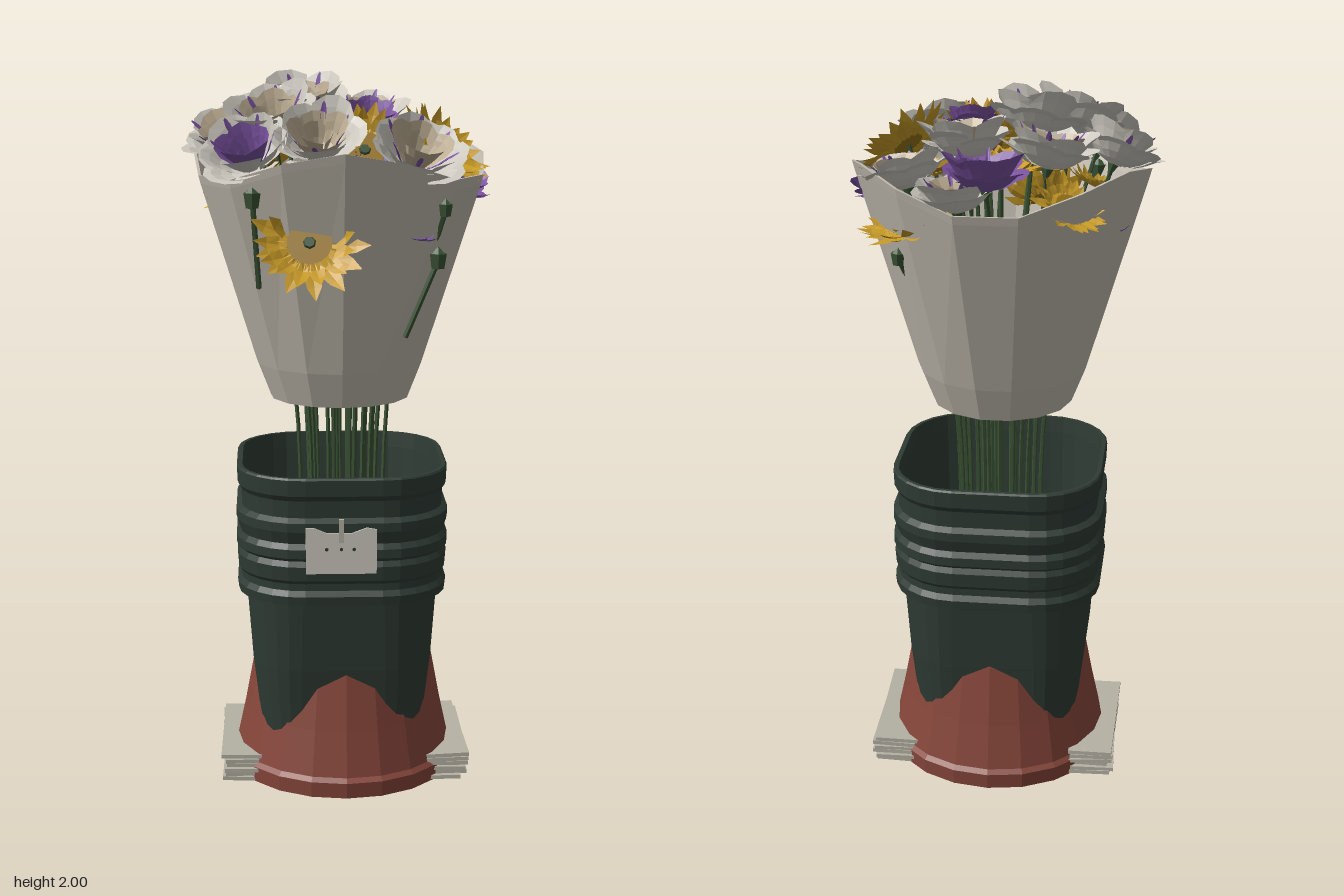
import * as THREE from 'three';
import { mergeGeometries } from 'three/addons/utils/BufferGeometryUtils.js';

const mat = (name, color) => {
  const m = new THREE.MeshStandardMaterial({ color, side: THREE.DoubleSide });
  m.name = name;
  return m;
};
const M = {
  paper: mat('wrapping paper', 0xc2bcb0),
  white: mat('white petal', 0xcdc9c0),
  tan: mat('tan petal', 0xc0b095),
  purple: mat('purple petal', 0x7a52a0),
  yellow: mat('yellow petal', 0xc99c28),
  brown: mat('seed brown', 0x9a761c),
  stem: mat('stem green', 0x3a5234),
  bucket: mat('bucket green', 0x2f3b34),
  clay: mat('terracotta', 0x86463a),
  stone: mat('stone grey', 0xb5b1a4),
};

let seed = 7;
const rnd = () => (seed = (seed * 16807) % 2147483647) / 2147483647;
const jit = (a) => (rnd() - 0.5) * 2 * a;

// Faceted normals
function flat(geo) {
  const g = geo.index ? geo.toNonIndexed() : geo;
  g.computeVertexNormals();
  return g;
}
function add(parent, name, geo, material) {
  const m = new THREE.Mesh(flat(geo), material);
  m.name = name;
  parent.add(m);
  return m;
}
// Grid surface from fn(u, v) -> [x, y, z], u and v in 0..1
function patch(fn, nu, nv) {
  const g = new THREE.PlaneGeometry(1, 1, nu, nv), p = g.attributes.position;
  for (let i = 0; i < p.count; i++) p.setXYZ(i, ...fn(p.getX(i) + 0.5, p.getY(i) + 0.5));
  return g;
}
// Point on a rounded square of half width w, rounder where it is wider; u runs round it in 0..1
const CORNER = 6;
function roundedSquare(u, w) {
  const k = Math.round(u * 4 * (CORNER + 1)) % (4 * (CORNER + 1));
  const q = Math.floor(k / (CORNER + 1));
  const r = w * (0.44 + 0.2 * THREE.MathUtils.clamp((w - 0.22) / 0.07, 0, 1));
  const a = (q + (k % (CORNER + 1)) / CORNER) * Math.PI / 2;
  const sx = [1, 1, -1, -1][q], sz = [1, -1, -1, 1][q];
  return [sx * (w - r) + r * Math.sin(a), sz * (w - r) + r * Math.cos(a)];
}

// Ring of cupped petals round the y axis
function petalRing(n, R, H, half, phase) {
  return Array.from({ length: n }, (_, i) => {
    const a0 = phase + i / n * Math.PI * 2 + jit(0.12), tip = jit(0.012), lean = 1 + jit(0.12);
    return patch((u, v) => {
      const s = u * 2 - 1, edge = v - 0.14 * s * s * v;
      const a = a0 + s * half * (0.5 + 0.8 * v - 0.5 * v * v);
      const r = R * lean * (0.12 + 0.88 * Math.pow(edge, 0.7)) * (1 - 0.05 * s * s);
      const y = H * Math.pow(edge, 1.3) + tip * v - (v > 0.9 ? 0.012 * R / 0.12 : 0);
      return [r * Math.sin(a), y, r * Math.cos(a)];
    }, 4, 4);
  });
}
// Ring of long pointed petals
function rayRing(n, r0, r1, lift, phase) {
  return Array.from({ length: n }, (_, i) => {
    const a = phase + i / n * Math.PI * 2 + jit(0.08), L = r1 * (1 + jit(0.12)), up = lift + jit(0.015);
    return patch((u, v) => {
      const s = u * 2 - 1, w = s * r1 * 0.17 * [0.55, 1, 0.75, 0.02][Math.round(v * 3)];
      const r = r0 + (L - r0) * v;
      return [r * Math.sin(a) + w * Math.cos(a), up * v * v + Math.abs(s) * 0.008 * (1 - v), r * Math.cos(a) - w * Math.sin(a)];
    }, 2, 3);
  });
}

function rose(outer, inner) {
  const g = new THREE.Group(), ph = rnd() * 6;
  add(g, 'outerPetals', mergeGeometries([...petalRing(6, 0.125, 0.075, 0.8, ph), ...petalRing(5, 0.112, 0.112, 0.85, ph + 0.5)]), outer);
  add(g, 'innerPetals', mergeGeometries([...petalRing(5, 0.08, 0.1, 0.95, ph), ...petalRing(3, 0.045, 0.075, 1.2, ph + 0.7)]), inner);
  add(g, 'accentPetals', mergeGeometries(petalRing(6, 0.09, 0.108, 0.12, ph + 0.2)), M.purple);
  add(g, 'calyx', new THREE.ConeGeometry(0.018, 0.04, 6).rotateX(Math.PI).translate(0, -0.02, 0), M.stem);
  return g;
}
function sunflower() {
  const g = new THREE.Group();
  add(g, 'rayPetals', mergeGeometries([...rayRing(13, 0.045, 0.15, 0.025, 0), ...rayRing(13, 0.045, 0.135, 0.05, 0.24)]), M.yellow);
  add(g, 'seedDisc', new THREE.CylinderGeometry(0.06, 0.05, 0.018, 14).translate(0, 0.012, 0), M.brown);
  add(g, 'discCentre', new THREE.CylinderGeometry(0.014, 0.018, 0.008, 7).translate(0, 0.024, 0), M.stem);
  return g;
}

function stemTo(parent, x, y, z) {
  const bx = x * 0.42 + jit(0.015), bz = z * 0.42 + jit(0.015);
  const path = new THREE.CatmullRomCurve3([[bx * 0.9, 0.42, bz * 0.9], [bx, 1.05, bz], [bx * 1.35, 1.35, bz * 1.35], [x, y, z]]
    .map((p) => new THREE.Vector3(...p)));
  add(parent, 'stem', new THREE.TubeGeometry(path, 12, 0.006, 5), M.stem);
}

export function createModel() {
  const model = new THREE.Group();
  model.name = 'flowerBucket';
  const UP = new THREE.Vector3(0, 1, 0);

  // Terracotta foot, hidden inside the bucket above
  const pot = [[0.285, 0.005], [0.32, 0.005], [0.324, 0.05], [0.312, 0.062], [0.284, 0.19], [0.252, 0.36], [0.243, 0.39]];
  add(model, 'terracottaFoot', new THREE.LatheGeometry(pot.map((p) => new THREE.Vector2(...p)), 20), M.clay);
  add(model, 'footUnderside', new THREE.CircleGeometry(0.3, 20).rotateX(Math.PI / 2).translate(0, 0.02, 0), M.tan);

  // Squared bucket: half width and height, up the outside then down the inside
  const wall = [[0.188, 0.022], [0.192, 0.01], [0.207, 0.01], [0.214, 0.03], [0.253, 0.36], [0.268, 0.56], [0.292, 0.565], [0.295, 0.59],
    [0.284, 0.605], [0.284, 0.625], [0.292, 0.635], [0.295, 0.675], [0.286, 0.69], [0.297, 0.7], [0.297, 0.725], [0.286, 0.74],
    [0.297, 0.775], [0.297, 0.8], [0.281, 0.812], [0.283, 0.86], [0.293, 0.875], [0.295, 0.92], [0.291, 0.925],
    [0.279, 0.925], [0.274, 0.88], [0.24, 0.42], [0.001, 0.42]];
  add(model, 'bucket', patch((u, v) => {
    const [w, y] = wall[Math.round(v * (wall.length - 1))], [x, z] = roundedSquare(u, w);
    return [x - 0.007, y, z + 0.003];
  }, 4 * (CORNER + 1), wall.length - 1), M.bucket);

  // Label with raised corners, three punched dots and a pin
  const tag = new THREE.Group();
  tag.name = 'label';
  tag.position.set(-0.016, 0.725, 0.302);
  const s = new THREE.Shape([[-0.097, -0.065], [0.097, -0.065], [0.097, 0.06], [0.07, 0.065], [0.03, 0.05], [-0.04, 0.05], [-0.075, 0.065], [-0.097, 0.065]]
    .map((p) => new THREE.Vector2(...p)));
  add(tag, 'labelPlate', new THREE.ExtrudeGeometry(s, { depth: 0.006, bevelEnabled: false }), M.white);
  for (const x of [-0.04, 0, 0.035]) add(tag, 'labelDot', new THREE.CylinderGeometry(0.005, 0.005, 0.003, 6).rotateX(Math.PI / 2).translate(x, 0.005, 0.007), M.bucket);
  add(tag, 'labelPin', new THREE.BoxGeometry(0.014, 0.065, 0.008).translate(0, 0.058, 0.008), M.stone);
  model.add(tag);

  // Stacked slabs on both sides of the foot
  for (const side of [1, -1]) {
    const stack = new THREE.Group();
    stack.name = side > 0 ? 'leftSlabs' : 'rightSlabs';
    for (let i = 0; i < 6; i++) {
      const slab = add(stack, 'slab', new THREE.BoxGeometry(0.125, 0.011, 0.41), M.stone);
      slab.position.set(side * 0.283 + jit(0.01), 0.014 + i * 0.013, -0.012 + jit(0.012));
      slab.rotation.set(jit(0.012), jit(0.04), jit(0.04));
    }
    model.add(stack);
  }

  // Paper wrap: faceted cone with a wavy top and a narrow folded lip
  const SIDES = 15;
  const wrap = [[0.197, 1.1, 0], [0.236, 1.2, 0], [0.4, 1.742, 1], [0.406, 1.765, 1], [0.398, 1.765, 1], [0.384, 1.735, 1]];
  add(model, 'paperWrap', patch((u, v) => {
    const [r, y, k] = wrap[Math.round(v * (wrap.length - 1))], a = u * Math.PI * 2;
    return [-0.01 + r * Math.sin(a), y + k * 0.043 * Math.cos(3 * a), r * Math.cos(a)];
  }, SIDES, wrap.length - 1), M.paper);

  // Places one flower head and its stem
  function plant(name, head, pos, normal, scale) {
    head.name = name;
    head.position.set(...pos);
    head.scale.setScalar(scale);
    head.quaternion.setFromUnitVectors(UP, new THREE.Vector3(...normal).normalize());
    model.add(head);
    stemTo(model, ...pos);
  }
  const dome = (x, z) => 1.87 - 1.3 * ((x + 0.06) ** 2 + (z + 0.02) ** 2);
  const outward = (x, z) => [x * 1.3, 1, z * 1.2 + 0.4];

  // Pale roses: x, z, scale, optional height
  for (const [x, z, k, y] of [[-0.31, -0.05, 0.95], [-0.15, -0.21, 1.02], [0.06, -0.17, 1.05], [0.22, -0.17, 0.92], [-0.1, -0.07, 1.05],
    [-0.19, 0.06, 1.02], [-0.07, 0.22, 1], [0.18, 0.21, 1.05, 1.76], [0.07, -0.32, 0.9, 1.72], [0.12, 0.06, 0.75, 1.71]])
    plant('paleRose', rose(M.white, M.tan), [x, y ?? dome(x, z), z], outward(x, z), k);

  // Purple roses, one with pale outer petals
  for (const [x, z, k, y] of [[0, -0.29, 0.95], [0.07, 0.01, 0.65], [-0.25, 0.2, 1.02], [0.32, -0.01, 0.6, 1.67], [0.06, 0.18, 0.5, 1.74]])
    plant('purpleRose', rose(x < -0.2 ? M.white : M.purple, M.purple), [x, y ?? dome(x, z), z], outward(x, z), k);

  // Sunflowers: position, facing, scale
  for (const [p, n, k] of [
    [[0.26, 1.79, 0.09], [0.6, 0.7, 0.45], 0.98], [[0.05, 1.79, 0.16], [0.05, 0.55, 0.8], 0.95],
    [[-0.21, 1.72, -0.27], [-0.55, 1, -0.5], 0.7], [[-0.1, 1.565, 0.325], [-0.05, 0.5, 1], 1],
    [[0.2, 1.65, -0.22], [0.3, 1, -0.2], 0.95], [[0.17, 1.75, -0.03], [0.2, 1, 0], 0.8],
    [[-0.27, 1.68, 0.1], [-0.4, 1, 0.2], 0.75], [[-0.02, 1.78, -0.12], [0, 1, 0], 0.75],
    [[-0.06, 1.69, 0.24], [0, 1, 0.2], 0.75], [[0, 1.76, 0.08], [0, 1, 0.1], 0.75],
  ]) plant('sunflower', sunflower(), p, n, k);

  // Closed buds poking through the paper, with short stalks: head, foot, head size
  for (const [head, foot, k] of [[[-0.25, 1.68, 0.3], [-0.235, 1.44, 0.245], 1], [[0.245, 1.51, 0.235], [0.16, 1.3, 0.215], 1],
    [[0.26, 1.65, 0.275], [0.24, 1.57, 0.24], 0.8], [[0.24, 1.565, -0.235], [0.22, 1.5, -0.2], 0.8]]) {
    const a = new THREE.Vector3(...head), b = new THREE.Vector3(...foot), bud = new THREE.Group();
    bud.name = 'bud';
    add(bud, 'budStalk', new THREE.TubeGeometry(new THREE.LineCurve3(b, a), 1, 0.008, 5), M.stem);
    add(bud, 'budHead', new THREE.CylinderGeometry(0.026 * k, 0.019 * k, 0.04 * k, 6).translate(...head), M.stem);
    add(bud, 'budTip', new THREE.ConeGeometry(0.02 * k, 0.02 * k, 6).translate(head[0], head[1] + 0.03 * k, head[2]), M.stem);
    model.add(bud);
  }

  // Thin purple petals showing through the paper
  for (const [x, y, z, a] of [[0.355, 1.66, 0.05, 1.5], [0.21, 1.57, 0.29, 0.6], [-0.32, 1.62, -0.12, -1.9]]) {
    const petals = add(model, 'strayPetals', mergeGeometries(rayRing(3, 0, 0.05, 0.02, a)), M.purple);
    petals.position.set(x, y, z);
  }
  return model;
}
